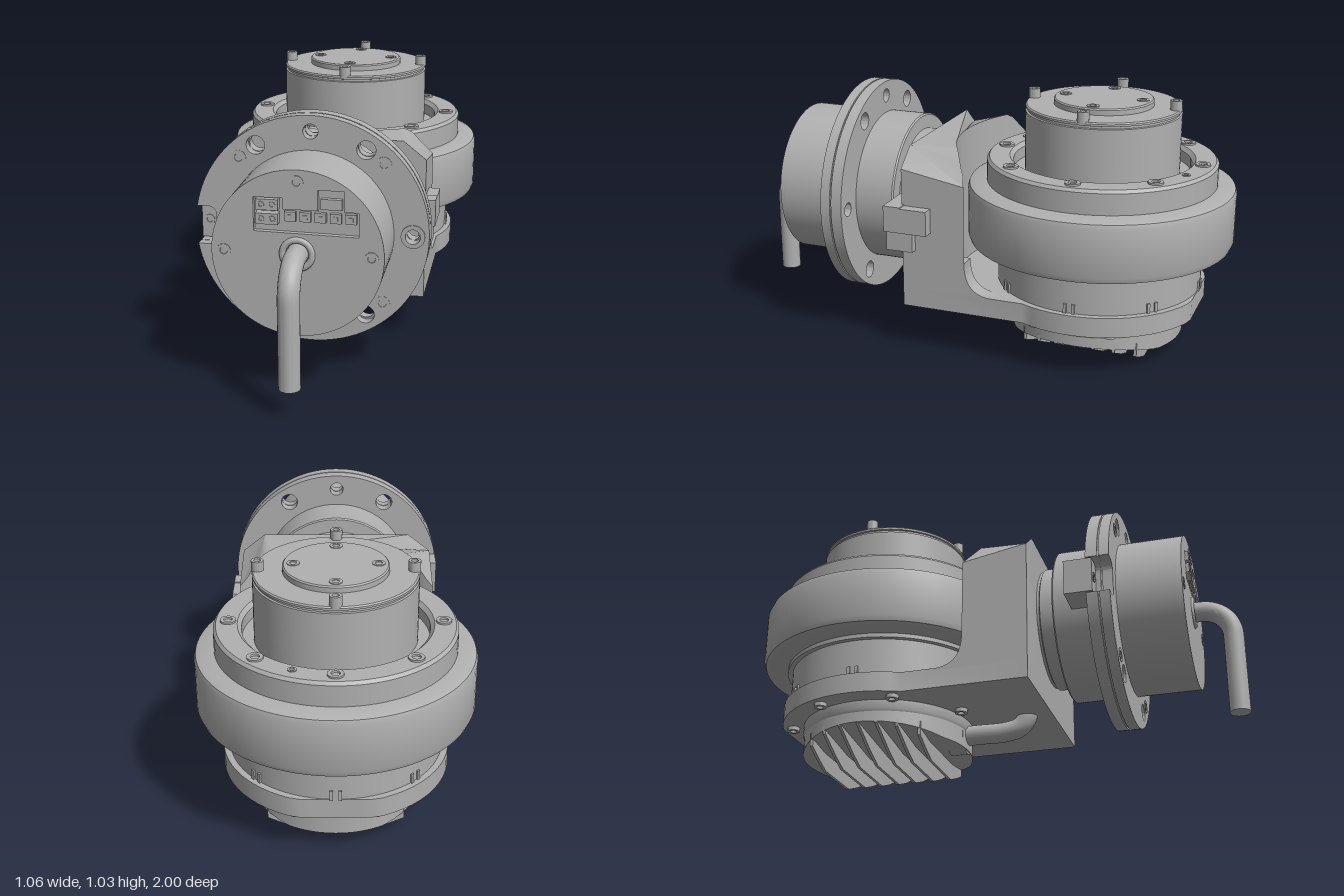
import * as THREE from 'three';
import { toCreasedNormals } from 'three/addons/utils/BufferGeometryUtils.js';

const grey = new THREE.MeshStandardMaterial({ color: 0xb0b0b0 });
grey.name = 'machined grey';

const CZ = -0.47; // z of the upright axis
const CY = 0.56;  // y of the level axis
const UP = new THREE.Vector3(0, 1, 0);
const DOWN = new THREE.Vector3(0, -1, 0);
const FRONT = new THREE.Vector3(0, 0, 1);

export function createModel() {
  const root = new THREE.Group();
  root.name = 'twoAxisActuator';

  function add(name, geo, x = 0, y = 0, z = 0) {
    const mesh = new THREE.Mesh(toCreasedNormals(geo, 0.5), grey);
    mesh.name = name;
    mesh.position.set(x, y, z);
    root.add(mesh);
    return mesh;
  }
  const lathe = (pts, seg = 72) => new THREE.LatheGeometry(pts.map(p => new THREE.Vector2(...p)), seg);
  const box = (name, x0, x1, y0, y1, z0, z1) => add(name,
    new THREE.BoxGeometry(x1 - x0, y1 - y0, z1 - z0), (x0 + x1) / 2, (y0 + y1) / 2, (z0 + z1) / 2);
  const polygon = pts => new THREE.Shape(pts.map(p => new THREE.Vector2(...p)));
  const extrude = (shape, depth) => new THREE.ExtrudeGeometry(shape, { depth, bevelEnabled: false, curveSegments: 48 });
  // plan points are [x, z]; the result rises along y
  const extrudeUp = (plan, h) => extrude(polygon(plan.map(([x, z]) => [x, -z])), h).rotateX(-Math.PI / 2);
  const hole = (shape, x, y, r) => shape.holes.push(new THREE.Path().absarc(x, y, r, 0, Math.PI * 2, true));
  // socket screw pointing along dir
  function screw(name, x, y, z, r, h, dir) {
    const s = add(name, lathe([[r, 0], [r, h], [r * 0.55, h], [r * 0.5, h * 0.2], [0, h * 0.2]], 20), x, y, z);
    s.quaternion.setFromUnitVectors(UP, dir);
  }
  function ring(n, r, offset, fn) {
    for (let i = 0; i < n; i++) {
      const a = offset + i * Math.PI * 2 / n;
      fn(Math.cos(a) * r, Math.sin(a) * r, a);
    }
  }

  // ---- Upright actuator ----
  add('uprightHousing', lathe([
    [0, 0.25], [0.41, 0.25], [0.41, 0.42], [0.43, 0.42], [0.43, 0.437], [0.5, 0.437], [0.522, 0.446], [0.53, 0.467],
    [0.53, 0.655], [0.524, 0.673], [0.507, 0.68], [0.455, 0.685], [0.455, 0.768], [0.445, 0.78], [0.365, 0.78],
    [0.35, 0.765], [0.35, 0.72], [0.305, 0.72], [0.305, 0.965], [0.298, 0.967], [0.298, 0.975], [0.305, 0.977],
    [0.305, 0.985], [0.3, 0.99], [0.195, 0.99], [0.195, 1.01], [0.19, 1.015], [0, 1.015]], 96), 0, 0, CZ);
  ring(8, 0.4, 0, (x, z) => screw('collarScrew', x, 0.775, CZ + z, 0.03, 0.012, UP));
  ring(4, 0.285, 0, (x, z) => screw('outputBolt', x, 0.985, CZ + z, 0.023, 0.042, UP));
  ring(4, 0.155, 0, (x, z) => screw('capScrew', x, 1.011, CZ + z, 0.024, 0.007, UP));
  for (const s of [1, -1]) screw('collarPin', 0.15 * s, 0.775, CZ - 0.367 * s, 0.016, 0.009, UP);
  // paired lugs round the lower housing
  ring(8, 0.41, 0, (x, z, a) => {
    for (const s of [-0.04, 0.04]) {
      const lug = add('housingLug', new THREE.BoxGeometry(0.014, 0.04, 0.012),
        0.41 * Math.cos(a + s), 0.288, CZ + 0.41 * Math.sin(a + s));
      lug.rotation.y = -a;
    }
  });

  // ---- Heat sink below ----
  add('heatSinkCollar', lathe([[0, 0.145], [0.345, 0.145], [0.35, 0.155], [0.35, 0.195], [0, 0.195]]), 0, 0, CZ);
  const sink = new THREE.CylinderGeometry(0.345, 0.345, 0.08, 72);
  const sp = sink.attributes.position;
  for (let i = 0; i < sp.count; i++) {
    const ax = Math.abs(sp.getX(i));
    sp.setY(i, sp.getY(i) > 0 ? 0.15 : Math.max(0.07, 0.07 + (ax - 0.18) * 0.21));
  }
  add('heatSinkBody', sink, 0, 0, CZ);
  for (let i = -3; i <= 3; i++) {
    const h = Math.sqrt(0.343 ** 2 - (i * 0.075) ** 2);
    const under = x => Math.max(0, (x - 0.12) * 0.35 + (x - 0.12) ** 2 * 0.5);
    const half = [[0.12, 0], [0.2, under(0.2)], [h, under(h)], [h, 0.115]];
    const fin = [...half, ...half.map(([x, y]) => [-x, y]).reverse()];
    add('coolingFin', extrude(polygon(fin), 0.012), 0, 0, CZ + i * 0.075 - 0.006);
  }
  const boss = lathe([[0, -0.05], [0.065, -0.05], [0.065, 0.02], [0.045, 0.02], [0, 0.02]], 32).rotateX(Math.PI / 2);
  add('lowerCableBoss', boss, 0, 0.125, -0.15);
  add('lowerCable', new THREE.TubeGeometry(new THREE.CatmullRomCurve3([
    [-0.2, 0.135], [-0.08, 0.135], [0.03, 0.135], [0.09, 0.15], [0.12, 0.19], [0.125, 0.24]]
    .map(([z, y]) => new THREE.Vector3(0, y, z))), 32, 0.04, 20));

  // ---- Bracket joining both axes ----
  const base = [[-0.39, 0.225], [0.39, 0.225], [0.39, -0.277]];
  for (let i = 0; i <= 40; i++) {
    const a = 0.459 - i / 40 * (Math.PI + 0.918);
    base.push([0.435 * Math.cos(a), Math.max(-0.88, CZ + 0.435 * Math.sin(a))]);
  }
  add('bracketBase', extrudeUp(base, 0.08), 0, 0.19, 0);
  ring(8, 0.39, Math.PI / 8, (x, z) => screw('baseScrew', x, 0.192, CZ + z, 0.025, 0.018, DOWN));

  const wall = [[-0.39, 0.225], [-0.3, 0.225], [0.3, 0.225], [0.39, 0.225], [0.39, -0.035]];
  for (let i = 0; i <= 24; i++) {
    const a = 0.677 * (1 - i / 12);
    wall.push([0.575 * Math.sin(a), CZ + 0.575 * Math.cos(a)]);
  }
  wall.push([-0.39, -0.035]);
  const wallGeo = extrudeUp(wall, 0.57);
  const wp = wallGeo.attributes.position;
  for (let i = 0; i < wp.count; i++) { // slope the shoulders down
    if (wp.getY(i) < 0.3) continue;
    const drop = Math.max(0, Math.abs(wp.getX(i)) - 0.3) * 0.8 + Math.max(0, 0.03 - wp.getZ(i)) * 0.7;
    wp.setY(i, wp.getY(i) - drop);
  }
  add('bracketWall', wallGeo, 0, 0.26, 0);
  // fillets between wall and base, as [-z, y]
  const fillet = new THREE.Shape();
  fillet.moveTo(-0.05, 0.26);
  fillet.lineTo(-0.05, 0.4);
  fillet.lineTo(0.035, 0.4);
  fillet.quadraticCurveTo(0.035, 0.27, 0.15, 0.27);
  fillet.lineTo(0.15, 0.26);
  for (const x of [0.32, -0.39]) add('bracketFillet', extrude(fillet, 0.07).rotateY(Math.PI / 2), x, 0, 0);
  // side stop
  box('stopArm', 0.38, 0.435, 0.51, 0.61, 0.105, 0.225);
  box('stopFoot', 0.27, 0.435, 0.51, 0.615, 0.215, 0.285);
  box('stopTab', 0.37, 0.42, 0.43, 0.52, 0.17, 0.28);

  // ---- Level actuator ----
  add('levelHousing', lathe([[0, 0.2], [0.24, 0.2], [0.24, 0.235], [0.25, 0.24], [0.25, 0.3], [0.305, 0.302],
    [0.31, 0.308], [0.31, 0.79], [0, 0.79]], 96).rotateX(Math.PI / 2), 0, CY, 0);

  // flange with holes and a side notch
  const flange = new THREE.Shape();
  flange.absarc(0, 0, 0.44, -Math.PI + 0.171, Math.PI - 0.171, false);
  flange.lineTo(-0.39, 0.075);
  flange.quadraticCurveTo(-0.36, 0.07, -0.36, 0.04);
  flange.lineTo(-0.36, -0.04);
  flange.quadraticCurveTo(-0.36, -0.07, -0.39, -0.075);
  for (const sx of [1, -1]) for (const sy of [1, -1]) hole(flange, 0.205 * sx, 0.32 * sy, 0.035);
  hole(flange, 0, 0.38, 0.028);
  hole(flange, 0.38, 0, 0.028);
  add('flangeRear', extrude(flange, 0.045), 0, CY, 0.465);
  add('flangeGroove', extrude(flange, 0.01), 0, CY, 0.508).scale.set(0.985, 0.985, 1);
  add('flangeFront', extrude(flange, 0.04), 0, CY, 0.516);
  add('flangeBush', lathe([[0.028, 0], [0.045, 0], [0.045, 0.006], [0.028, 0.006], [0.028, 0]], 32)
    .rotateX(Math.PI / 2), 0.38, CY, 0.555);
  for (const sx of [1, -1]) for (const sy of [1, -1])
    screw('flangeScrew', 0.27 * sx, CY + 0.27 * sy, 0.552, 0.028, 0.006, FRONT);
  box('notchClip', -0.435, -0.3, CY - 0.07, CY + 0.07, 0.38, 0.49);
  screw('notchScrew', -0.405, CY, 0.488, 0.02, 0.006, FRONT);

  // front cover with a connector recess
  const cover = new THREE.Shape().absarc(0, 0, 0.31, 0, Math.PI * 2, false);
  cover.holes.push(new THREE.Path([[-0.155, 0.08], [0.22, 0.075], [0.22, 0.165], [0.168, 0.165], [0.168, 0.24],
    [0.075, 0.24], [0.075, 0.165], [-0.05, 0.165], [-0.05, 0.205], [-0.155, 0.205]]
    .map(p => new THREE.Vector2(...p))));
  hole(cover, 0, 0, 0.065);
  add('frontCover', extrude(cover, 0.022), 0, CY, 0.788);
  for (const [x, y] of [[-0.265, 0], [0.265, 0], [0, 0.265]])
    screw('coverScrew', x, CY + y, 0.807, 0.025, 0.006, FRONT);
  // connectors
  for (const y of [0.69, 0.742]) {
    box('powerSocket', -0.145, -0.065, y - 0.02, y + 0.02, 0.788, 0.822);
    for (const x of [-0.125, -0.085]) screw('powerPin', x, y, 0.82, 0.012, 0.006, FRONT);
  }
  for (let i = 0; i < 5; i++) {
    const x = -0.025 + i * 0.054;
    box('signalSocket', x - 0.02, x + 0.02, 0.68, 0.715, 0.788, 0.806);
    box('signalKey', x - 0.008, x + 0.008, 0.69, 0.705, 0.8, 0.81);
  }
  box('dataSocket', 0.085, 0.16, 0.73, 0.768, 0.788, 0.808);

  // front cable
  add('cableGland', new THREE.TorusGeometry(0.053, 0.012, 12, 40), 0, CY, 0.808);
  const path = new THREE.CurvePath();
  const v = (y, z) => new THREE.Vector3(0, y, z);
  path.add(new THREE.LineCurve3(v(CY, 0.78), v(CY, 0.84)));
  path.add(new THREE.CubicBezierCurve3(v(CY, 0.84), v(CY, 0.908), v(0.508, 0.96), v(0.44, 0.96)));
  path.add(new THREE.LineCurve3(v(0.44, 0.96), v(0.115, 0.96)));
  add('frontCable', new THREE.TubeGeometry(path, 60, 0.04, 24));
  add('cableEnd', new THREE.CircleGeometry(0.04, 24).rotateX(Math.PI / 2), 0, 0.115, 0.96);

  return root;
}
